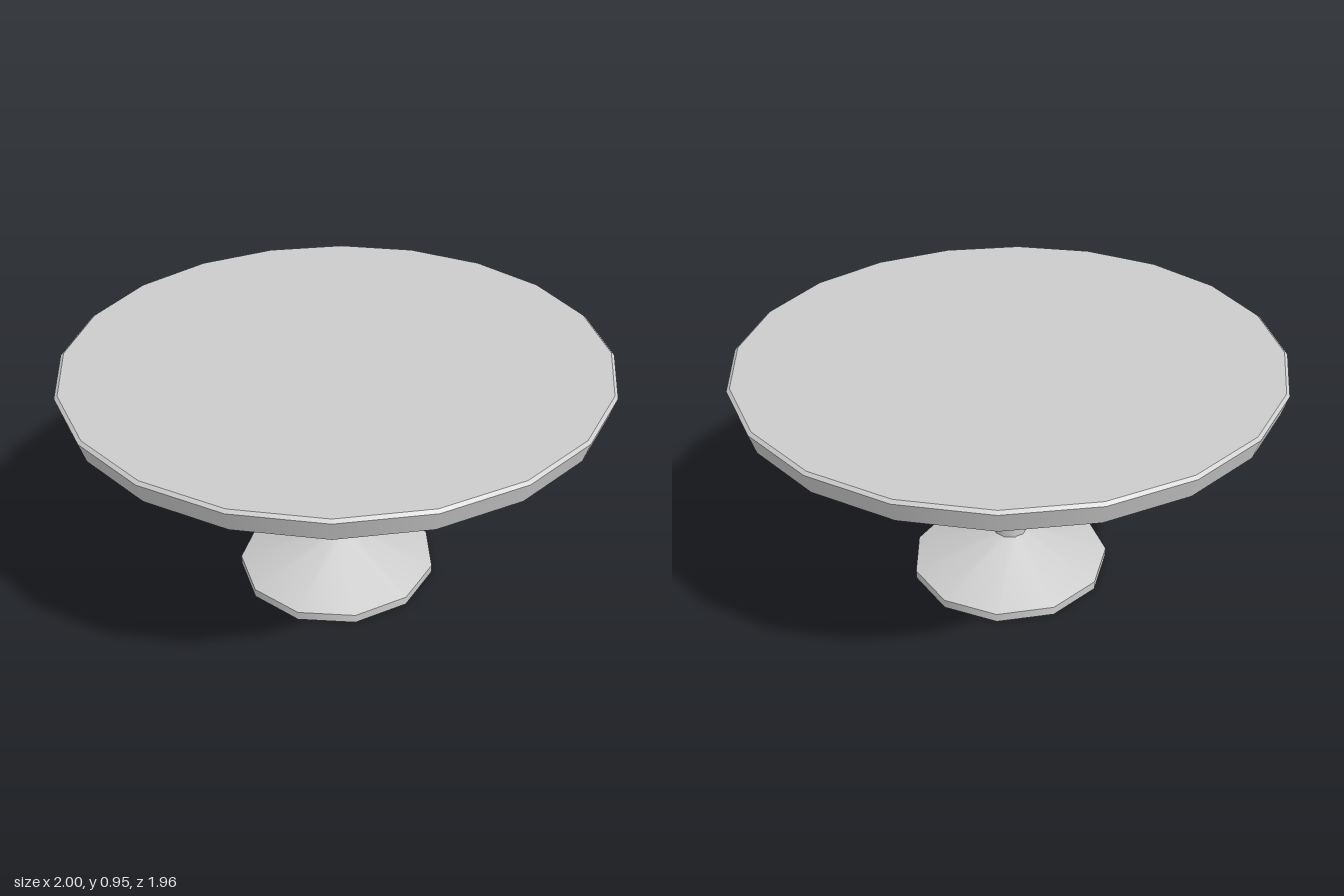
import * as THREE from 'three';

const material = new THREE.MeshStandardMaterial({ color: 0xcccccc, side: THREE.DoubleSide });

// Stack of frustums from [radius, y] rings, capped at both ends.
// Sides are smooth around, with sharp edges between the rings.
function turnedPart(name, sides, depthScale, rings) {
  const part = new THREE.Group();
  part.name = name;
  const add = (geometry, y) => {
    const mesh = new THREE.Mesh(geometry, material);
    mesh.name = `${name}Section`;
    mesh.position.y = y;
    part.add(mesh);
  };
  for (let i = 0; i + 1 < rings.length; i++) {
    const [r0, y0] = rings[i];
    const [r1, y1] = rings[i + 1];
    add(new THREE.CylinderGeometry(r1, r0, y1 - y0, sides, 1, true, -Math.PI / 2), (y0 + y1) / 2);
  }
  const cap = (r, y, turn) => {
    const disc = new THREE.CircleGeometry(r, sides, Math.PI);
    disc.rotateX(turn);
    add(disc, y);
  };
  cap(rings[0][0], rings[0][1], Math.PI / 2);
  const last = rings[rings.length - 1];
  cap(last[0], last[1], -Math.PI / 2);
  part.scale.z = depthScale;
  return part;
}

export function createModel() {
  const table = new THREE.Group();
  table.name = 'pedestalTable';
  table.add(
    // Foot: low rim rising as a shallow cone to the column
    turnedPart('foot', 11, 0.965, [[0.395, 0], [0.395, 0.035], [0.067, 0.157]]),
    // Central column
    turnedPart('column', 10, 1, [[0.067, 0.14], [0.067, 0.757]]),
    // Two stepped tiers under the top
    turnedPart('lowerTier', 14, 1, [[0.735, 0.757], [0.745, 0.815]]),
    turnedPart('upperTier', 14, 1, [[0.823, 0.815], [0.823, 0.873]]),
    // Tabletop, flaring upward with a small bevel
    turnedPart('tabletop', 20, 0.982, [[0.98, 0.873], [1, 0.945], [0.988, 0.954]]),
  );
  return table;
}
